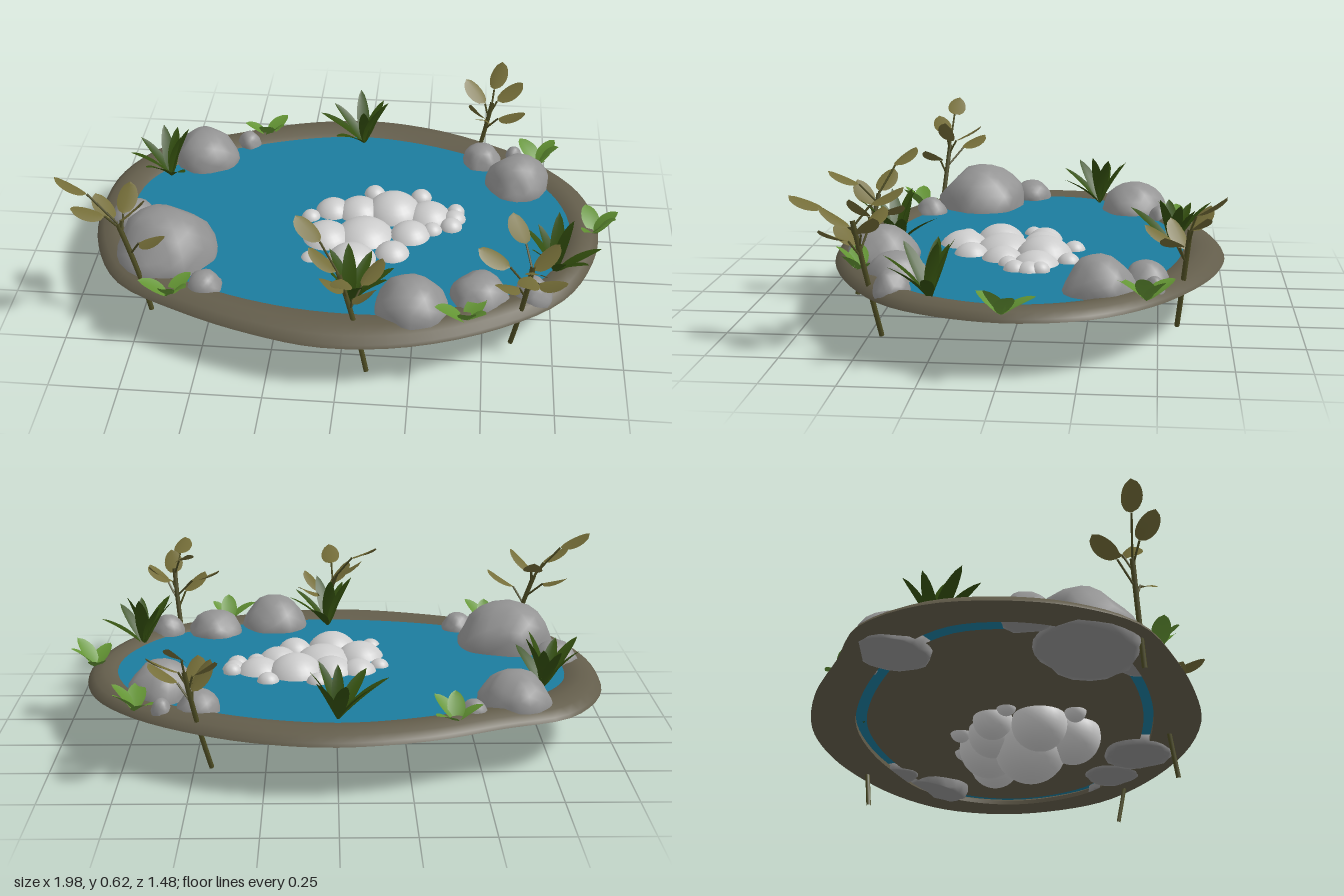
import * as THREE from 'three';
import { mergeVertices, toCreasedNormals } from 'three/addons/utils/BufferGeometryUtils.js';

const mat = (name, color, side = THREE.FrontSide) => {
  const m = new THREE.MeshStandardMaterial({ color, side });
  m.name = name;
  return m;
};
const V = (x, y, z) => new THREE.Vector3(x, y, z);

export function createModel() {
  const model = new THREE.Group();
  model.name = 'gardenPond';
  const D = THREE.DoubleSide;
  const soil = mat('soil', 0x635d4b, D), waterBlue = mat('waterBlue', 0x1b7c9e, D);
  const rockGrey = mat('rockGrey', 0x939393), pebbleWhite = mat('pebbleWhite', 0xcccccc);
  const darkGreen = mat('darkGreen', 0x334f0e, D), freshGreen = mat('freshGreen', 0x639433, D);
  const olive = mat('olive', 0x746d38, D), stemBrown = mat('stemBrown', 0x4c4b22);

  let seed = 11;
  const rand = () => (seed = (seed * 16807) % 2147483647) / 2147483647;
  const add = (parent, name, geometry, material) => {
    const mesh = new THREE.Mesh(geometry, material);
    mesh.name = name;
    parent.add(mesh);
    return mesh;
  };
  const group = (name) => {
    const g = new THREE.Group();
    g.name = name;
    model.add(g);
    return g;
  };

  // Outer and inner shoreline, as matching [x, z] points
  const outer = [[0, -.74], [.24, -.71], [.46, -.63], [.7, -.48], [.86, -.29], [.92, -.06], [.89, .15],
    [.78, .37], [.56, .54], [.25, .665], [-.05, .695], [-.3, .645], [-.56, .55], [-.81, .41], [-.93, .2],
    [-.97, -.03], [-.94, -.28], [-.8, -.49], [-.56, -.585], [-.3, -.69]];
  const inner = [[0, -.575], [.24, -.54], [.44, -.47], [.62, -.38], [.74, -.24], [.8, -.06], [.78, .12],
    [.66, .32], [.46, .43], [.22, .51], [-.04, .52], [-.27, .49], [-.5, .42], [-.7, .31], [-.8, .14],
    [-.83, -.02], [-.8, -.2], [-.66, -.36], [-.45, -.47], [-.2, -.55]];
  const N = 80;
  const sample = (pts) => {
    const curve = new THREE.CatmullRomCurve3(pts.map(([x, z]) => V(x, 0, z)), true);
    return Array.from({ length: N }, (_, i) => curve.getPoint(i / N));
  };
  const outerLine = sample(outer), innerLine = sample(inner);

  // Bank: a domed section swept between the two shorelines
  const section = [[0, .195], [.04, .207], [.2, .225], [.5, .236], [.8, .229], [1, .212], [1, .195]];
  const K = section.length, pos = [], idx = [];
  for (let i = 0; i < N; i++) {
    for (const [t, y] of section) {
      const p = outerLine[i].clone().lerp(innerLine[i], t);
      pos.push(p.x, y, p.z);
    }
    for (let k = 0; k < K; k++) {
      const a = i * K + k, b = i * K + (k + 1) % K;
      const c = ((i + 1) % N) * K + k, d = ((i + 1) % N) * K + (k + 1) % K;
      idx.push(a, b, c, b, d, c);
    }
  }
  const bank = new THREE.BufferGeometry();
  bank.setAttribute('position', new THREE.Float32BufferAttribute(pos, 3));
  bank.setIndex(idx);
  add(model, 'bank', toCreasedNormals(bank, 0.8), soil);

  // Water surface and pond floor
  const sheet = (name, scale, y, material) => {
    const shape = new THREE.Shape(innerLine.map((p) => new THREE.Vector2(p.x * scale, -p.z * scale)));
    add(model, name, new THREE.ShapeGeometry(shape).rotateX(-Math.PI / 2), material).position.y = y;
  };
  sheet('water', 1.05, .22, waterBlue);
  sheet('pondFloor', .93, .2, soil);

  // Heap of pale round stones: x, y, z, radius
  const heap = group('pebbleHeap');
  const ball = new THREE.SphereGeometry(1, 24, 16);
  [[.05, .135, .07, .135], [-.09, .17, .1, .102], [.015, .165, .225, .105], [.15, .175, -.085, .114],
    [.02, .18, -.07, .092], [-.08, .19, -.07, .073], [.285, .17, -.065, .097], [.22, .18, .06, .085],
    [.16, .19, .18, .07], [-.16, .21, -.02, .037], [-.135, .2, .23, .04], [.38, .205, -.05, .047],
    [.385, .22, -.09, .034], [.37, .21, 0, .043], [.3, .21, .03, .039], [.07, .21, -.19, .042],
    [.25, .21, -.18, .042]].forEach(([x, y, z, r]) => {
    const m = add(heap, 'pebble', ball, pebbleWhite);
    m.position.set(x, y, z);
    m.scale.setScalar(r);
  });

  // Shore rocks: lumpy, flat-bottomed; x, z, radius, top height, tilt about x and z
  const rocks = group('shoreRocks');
  const rockGeometry = () => {
    let g = new THREE.IcosahedronGeometry(1, 3);
    g.deleteAttribute('uv');
    g.deleteAttribute('normal');
    g = mergeVertices(g, 1e-4);
    // Shave the ball with random planes to make soft facets
    const cuts = Array.from({ length: 18 }, () => {
      const y = rand() * 1.4 - .4, a = rand() * Math.PI * 2;
      return { n: V(Math.cos(a), y, Math.sin(a)).normalize(), d: .86 + rand() * .08 };
    });
    const p = g.attributes.position, v = V(0, 0, 0);
    for (let i = 0; i < p.count; i++) {
      v.fromBufferAttribute(p, i);
      for (const { n, d } of cuts) {
        const over = v.dot(n) - d;
        if (over > 0) v.addScaledVector(n, -over);
      }
      p.setXYZ(i, v.x, Math.max(v.y, -.25), v.z);
    }
    g.computeVertexNormals();
    return g;
  };
  [[-.665, .24, .182, .38, .08, -.1], [-.62, -.395, .13, .33, .1, 0], [-.83, .045, .085, .29, 0, 0],
    [-.49, .43, .062, .28, 0, 0], [.25, .485, .13, .335, 0, 0], [.48, .4, .105, .3, 0, 0],
    [.62, -.305, .122, .34, .25, .08], [.48, -.455, .078, .29, 0, 0], [-.465, -.505, .047, .27, 0, 0],
    [.605, -.485, .037, .27, 0, 0], [.67, .38, .065, .29, 0, 0]].forEach(([x, z, r, top, rx, rz]) => {
    const m = add(rocks, 'rock', rockGeometry(), rockGrey);
    m.position.set(x, .215, z);
    m.rotation.set(rx, 0, rz);
    m.scale.set(r * 1.05, (top - .215) * 1.05, r * 1.05);
  });

  // Leaf growing along +y, cupped and bending towards +z
  const leafGeometry = (length, width, bend, fullness) => {
    const g = new THREE.PlaneGeometry(1, 1, 2, 10), p = g.attributes.position;
    for (let i = 0; i < p.count; i++) {
      const s = p.getX(i) * 2, t = p.getY(i) + .5;
      const w = Math.pow(Math.sin(Math.PI * Math.min(1, t)) + 1e-6, fullness) * width / 2;
      p.setXYZ(i, s * w, t * length, bend * t * t - Math.abs(s) * w * .2);
    }
    g.computeVertexNormals();
    return g;
  };

  // Tufts: a ring of leaves leaning out between two angles
  const tuft = (name, x, z, count, leaf, material, turn, lean, spread) => {
    const g = group(name);
    g.position.set(x, .215, z);
    for (let i = 0; i < count; i++) {
      const m = add(g, 'leaf', leaf, material);
      m.rotation.order = 'YXZ';
      m.rotation.set(lean + spread * ((i * 3) % count) / count, turn + i * 2.4, 0);
      m.scale.setScalar(.85 + rand() * .2);
    }
  };
  const blade = leafGeometry(.215, .05, .04, .65), smallLeaf = leafGeometry(.125, .068, .025, .6);
  [[0, -.55], [-.74, -.25], [.75, .24], [.03, .47]].forEach(([x, z], i) =>
    tuft('darkTuft', x, z, 8, blade, darkGreen, i * 1.1, .12, .75));
  [[-.4, -.575, 0], [.7, -.46, 1.4], [.9, -.01, 1], [.435, .54, .1], [-.61, .49, 0]].forEach(([x, z, turn]) =>
    tuft('brightTuft', x, z, 4, smallLeaf, freshGreen, turn, .5, .55));

  // Tall olive plants: a bent stem with oval leaves on twigs
  const oval = leafGeometry(.125, .074, .008, .5);
  const tallPlant = (base, top, leaves) => {
    const g = group('tallPlant');
    const a = V(...base), b = V(...top);
    const mid = a.clone().lerp(b, .5).add(V(.01, 0, 0));
    const curve = new THREE.QuadraticBezierCurve3(a, mid, b);
    add(g, 'stem', new THREE.TubeGeometry(curve, 10, .009, 6), stemBrown);
    for (const [x, y, z] of leaves) {
      const centre = V(x, y, z);
      const root = curve.getPoint(THREE.MathUtils.clamp((y - .09 - a.y) / (b.y - a.y), .3, 1));
      // Leaves lie flatter than the twigs that carry them
      const dir = centre.clone().sub(root);
      dir.y *= .5;
      dir.normalize();
      const start = centre.clone().addScaledVector(dir, -.0625);
      add(g, 'twig', new THREE.TubeGeometry(new THREE.LineCurve3(root, start), 1, .004, 5), stemBrown);
      const side = V(0, 1, 0).cross(dir).normalize();
      const face = side.clone().cross(dir);
      const m = add(g, 'ovalLeaf', oval, olive);
      m.quaternion.setFromRotationMatrix(new THREE.Matrix4().makeBasis(side, dir, face));
      m.rotateY(Math.PI + (rand() - .5) * .6);
      m.position.copy(start);
    }
  };
  tallPlant([-.69, .1, .43], [-.79, .45, .395], [[-.945, .59, .385], [-.88, .52, .44], [-.86, .45, .3],
    [-.77, .5, .31], [-.73, .51, .4], [-.66, .42, .45]]);
  tallPlant([.1, .035, .62], [0, .4, .55], [[-.115, .52, .465], [-.06, .44, .53], [-.02, .4, .61],
    [.11, .36, .48], [.09, .36, .61], [.02, .46, .68]]);
  tallPlant([.6, .04, .43], [.65, .45, .51], [[.52, .43, .455], [.7, .44, .45], [.6, .52, .4],
    [.57, .38, .55], [.66, .46, .57], [.72, .41, .56], [.63, .5, .67]]);
  tallPlant([.43, .05, -.565], [.51, .41, -.6], [[.53, .49, -.67], [.44, .43, -.64], [.58, .44, -.63],
    [.59, .38, -.54], [.455, .38, -.56], [.48, .38, -.5]]);

  return model;
}
